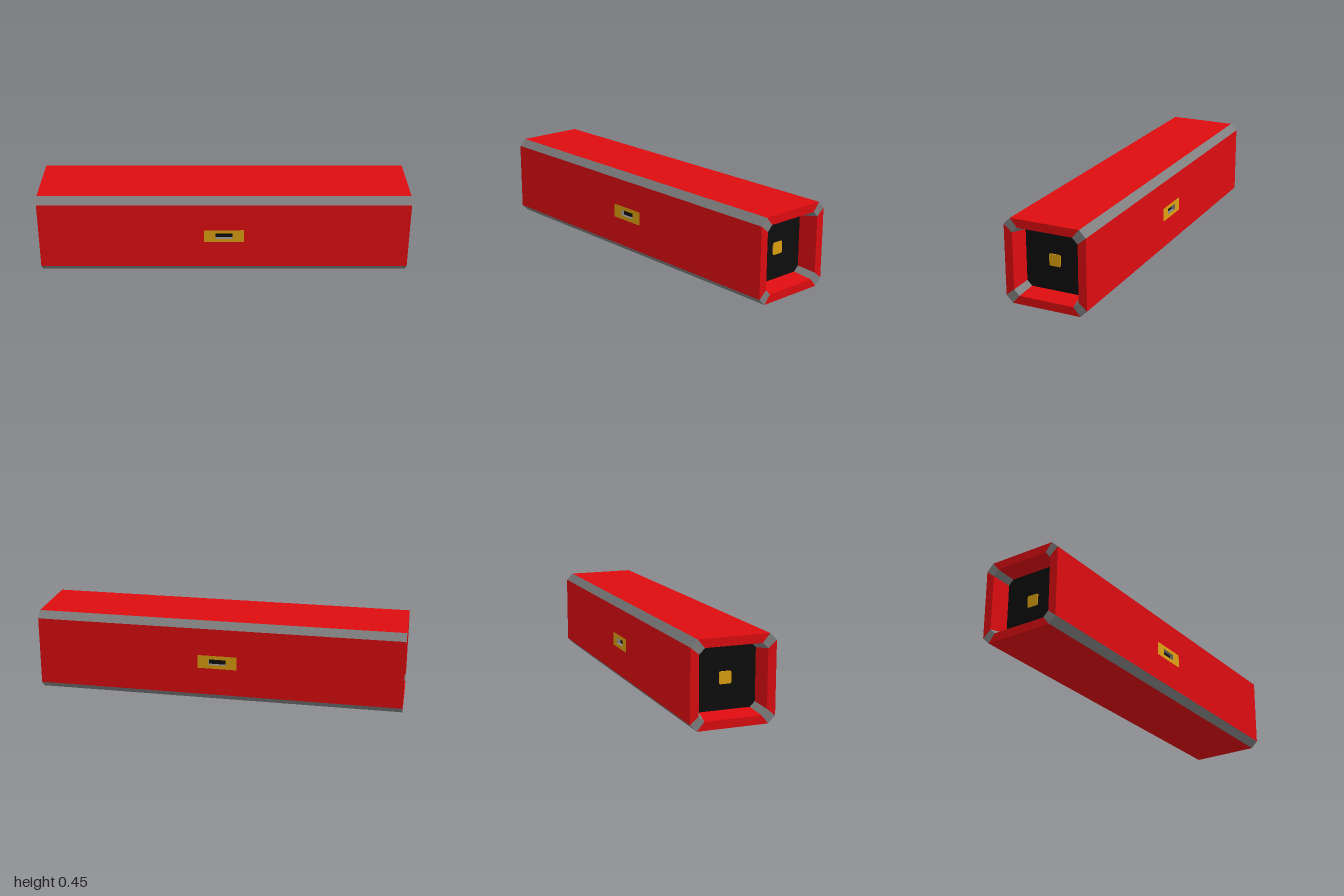
import * as THREE from 'three';

const H = 0.2245, C = 0.188, RECESS_X = 0.9, INNER = 0.724;

const mat = (color) => new THREE.MeshStandardMaterial({ color, flatShading: true });

// Rectangle with cut corners, as a list of points running counter-clockwise
function octagon(h, c) {
  return [[h, -c], [h, c], [c, h], [-c, h], [-h, c], [-h, -c], [-c, -h], [c, -h]];
}

function rectangle(w, h, Kind = THREE.Shape) {
  const p = [[-w, -h], [w, -h], [w, h], [-w, h]].map(([x, y]) => new THREE.Vector2(x, y));
  return new Kind(p);
}

function shapeOf(points) {
  return new THREE.Shape(points.map(([x, y]) => new THREE.Vector2(x, y)));
}

function add(parent, name, geometry, material) {
  const mesh = new THREE.Mesh(geometry, material);
  mesh.name = name;
  parent.add(mesh);
  return mesh;
}

// Sweeps chosen sides of the octagon along a profile of [x, scale] steps
function sweep(sides, profile, skip) {
  const ring = octagon(H, C), pos = [];
  const point = ([x, s], i) => [x, ring[i % 8][1] * s, ring[i % 8][0] * s];
  for (const i of sides) {
    for (let k = 0; k < profile.length - 1; k++) {
      if (skip(i, k)) continue;
      const a = point(profile[k], i), b = point(profile[k + 1], i);
      const c = point(profile[k + 1], i + 1), d = point(profile[k], i + 1);
      pos.push(...a, ...b, ...c, ...a, ...c, ...d);
    }
  }
  const g = new THREE.BufferGeometry();
  g.setAttribute('position', new THREE.Float32BufferAttribute(pos, 3));
  g.computeVertexNormals();
  return g;
}

export function createModel() {
  const red = mat(0xdd0c10), grey = mat(0x808080), black = mat(0x0d0d0d), gold = mat(0xdda010);
  const model = new THREE.Group();
  model.name = 'chamferedTube';
  const body = new THREE.Group();
  body.name = 'body';
  body.position.y = H;
  model.add(body);

  // Shell: recess wall, end rim, outer side, end rim, recess wall
  const profile = [[-RECESS_X, INNER], [-1, 0.8], [-1, 1], [1, 1], [1, 0.8], [RECESS_X, INNER]];
  const openFace = (i, k) => k === 2 && i % 4 === 0; // front and back get cut-out panels
  add(body, 'sidePanels', sweep([0, 2, 4, 6], profile, openFace), red);
  add(body, 'cornerStrips', sweep([1, 3, 5, 7], profile, () => false), grey);

  // Front and back panels, each with a port plate and a recessed slot
  const plateW = 0.107, plateH = 0.037, slotW = 0.047, slotH = 0.016, slotDepth = 0.02;
  for (const [side, turn] of [['front', 0], ['back', Math.PI]]) {
    const face = new THREE.Group();
    face.name = side + 'Face';
    face.rotation.y = turn;
    body.add(face);

    const panel = rectangle(1, C);
    panel.holes.push(rectangle(plateW, plateH, THREE.Path));
    add(face, side + 'Panel', new THREE.ShapeGeometry(panel), red).position.z = H;

    const plate = rectangle(plateW, plateH);
    plate.holes.push(rectangle(slotW, slotH, THREE.Path));
    add(face, side + 'PortPlate', new THREE.ShapeGeometry(plate), gold).position.z = H;

    // Slot walls and floor
    for (const s of [-1, 1]) {
      const flat = add(face, side + 'SlotWall', new THREE.PlaneGeometry(2 * slotW, slotDepth), grey);
      flat.position.set(0, s * slotH, H - slotDepth / 2);
      flat.rotation.x = s * Math.PI / 2;
      const upright = add(face, side + 'SlotWall', new THREE.PlaneGeometry(slotDepth, 2 * slotH), grey);
      upright.position.set(s * slotW, 0, H - slotDepth / 2);
      upright.rotation.y = -s * Math.PI / 2;
    }
    add(face, side + 'SlotFloor', new THREE.PlaneGeometry(2 * slotW, 2 * slotH), black)
      .position.z = H - slotDepth;
  }

  // Sunken end plates with a small square contact
  for (const [side, s] of [['left', 1], ['right', -1]]) {
    const end = new THREE.Group();
    end.name = side + 'End';
    end.rotation.y = s * Math.PI / 2;
    body.add(end);
    const plate = shapeOf(octagon(H * INNER, C * INNER));
    add(end, side + 'EndPlate', new THREE.ShapeGeometry(plate), black).position.z = RECESS_X;
    const contact = new THREE.ExtrudeGeometry(shapeOf(octagon(0.032, 0.027)),
      { depth: 0.004, bevelEnabled: false });
    add(end, side + 'Contact', contact, gold).position.z = RECESS_X;
  }
  return model;
}
